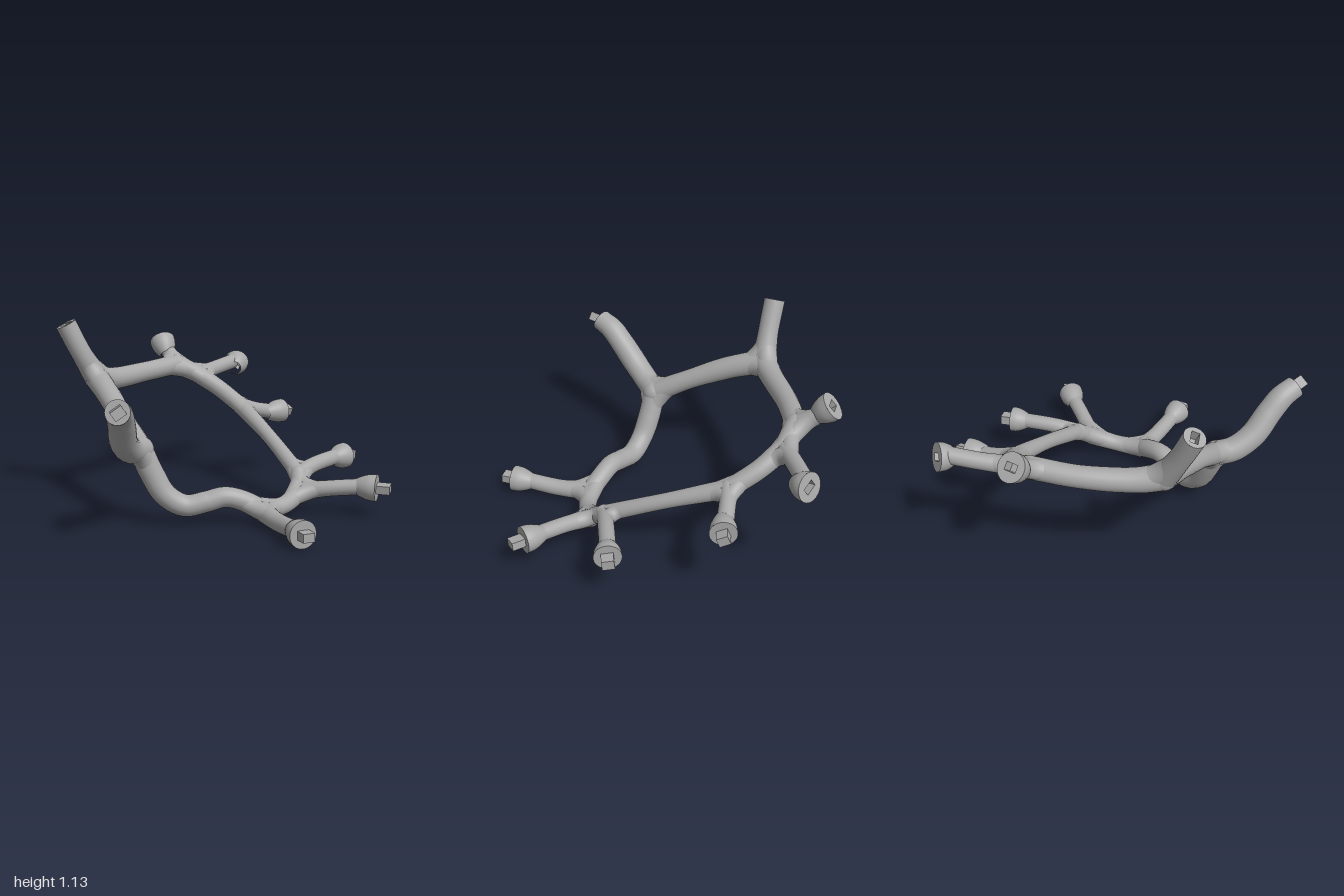
import * as THREE from 'three';

const V = (a) => new THREE.Vector3(a[0], a[1], a[2]);

export function createModel() {
  const model = new THREE.Group();
  const grey = new THREE.MeshStandardMaterial({ color: 0xa8a8a8 });
  grey.name = 'plainGrey';
  const greyInside = grey.clone(); // same grey, seen from inside the sockets
  greyInside.side = THREE.BackSide;

  const add = (name, geometry, parent = model, material = grey) => {
    const mesh = new THREE.Mesh(geometry, material);
    mesh.name = name;
    parent.add(mesh);
    return mesh;
  };

  // Round tube along a curve whose radius blends through a list of radii
  const sweep = (name, curve, radii, segments = 40) => {
    const sides = 24;
    const g = new THREE.TubeGeometry(curve, segments, 1, sides);
    const pos = g.attributes.position, nor = g.attributes.normal;
    for (let i = 0; i <= segments; i++) {
      const c = curve.getPointAt(i / segments);
      const f = (i / segments) * (radii.length - 1);
      const k = Math.min(Math.floor(f), radii.length - 2);
      const r = THREE.MathUtils.lerp(radii[k], radii[k + 1], THREE.MathUtils.smoothstep(f - k, 0, 1));
      for (let j = 0; j <= sides; j++) {
        const n = i * (sides + 1) + j;
        pos.setXYZ(n, c.x + nor.getX(n) * r, c.y + nor.getY(n) * r, c.z + nor.getZ(n) * r);
      }
    }
    return add(name, g);
  };
  const tube = (name, points, radii) =>
    sweep(name, new THREE.CatmullRomCurve3(points.map(V), false, 'centripetal'), radii);

  // Junctions of the frame
  const N = {
    backLeft: [-0.34, 0.78, -0.66],
    back: [0.38, 0.78, -0.75],
    backCorner: [0.5, 0.71, -0.67],
    side: [0.61, 0.52, -0.36],
    frontCorner: [0.43, 0.23, 0.34],
    front: [0.36, 0.15, 0.42],
    frontMiddle: [0.03, 0.1, 0.43],
    limb: [-0.52, 0.47, 0.01],
  };

  // Closed ring
  tube('backBar', [N.backLeft, [-0.2, 0.755, -0.69], [0.1, 0.76, -0.74], N.back], [0.075, 0.068, 0.064, 0.065]);
  tube('backCornerBar', [N.back, N.backCorner], [0.065, 0.06]);
  tube('upperSideBar', [N.backCorner, [0.57, 0.62, -0.53], N.side], [0.06, 0.056, 0.055]);
  tube('lowerSideBar', [N.side, [0.525, 0.38, 0], N.frontCorner], [0.055, 0.046, 0.05]);
  tube('frontCornerBar', [N.frontCorner, N.front], [0.052, 0.055]);
  tube('frontBar', [N.front, [0.2, 0.1, 0.445], N.frontMiddle], [0.058, 0.053, 0.06]);
  tube('wavyBar', [N.frontMiddle, [-0.03, 0.145, 0.375], [-0.13, 0.18, 0.3], [-0.22, 0.155, 0.235],
    [-0.32, 0.135, 0.16], [-0.41, 0.2, 0.095], [-0.47, 0.33, 0.045], N.limb],
  [0.06, 0.06, 0.062, 0.066, 0.07, 0.07]);
  tube('leftBar', [N.limb, [-0.47, 0.585, -0.2], [-0.4, 0.71, -0.46], N.backLeft], [0.07, 0.062, 0.07, 0.075]);

  // Side arms
  tube('tallPost', [N.backLeft, [-0.43, 0.94, -0.69], [-0.51, 1.12, -0.73]], [0.075, 0.063, 0.064]);
  tube('limbArm', [N.limb, [-0.62, 0.49, 0.05], [-0.72, 0.56, 0.12], [-0.8, 0.68, 0.21],
    [-0.86, 0.755, 0.275], [-0.925, 0.79, 0.345]], [0.075, 0.076, 0.078, 0.075, 0.068]);
  tube('backArm', [N.back, [0.4, 0.85, -0.86]], [0.06, 0.05]);
  tube('backCornerArm', [N.backCorner, [0.68, 0.73, -0.7], [0.86, 0.755, -0.72]], [0.055, 0.05, 0.05]);
  tube('sideArm', [N.side, [0.72, 0.49, -0.34], [0.85, 0.46, -0.315]], [0.055, 0.048, 0.05]);
  tube('frontCornerArm', [N.frontCorner, [0.58, 0.26, 0.33], [0.79, 0.275, 0.32]], [0.05, 0.048, 0.048]);
  tube('frontArm', [N.front, [0.46, 0.18, 0.57], [0.56, 0.2, 0.71]], [0.055, 0.048, 0.048]);
  tube('frontMiddleArm', [N.frontMiddle, [-0.03, 0.085, 0.62], [-0.1, 0.1, 0.83]], [0.06, 0.052, 0.05]);

  // Rounded webs between neighbouring bars at each junction
  const joint = (name, at, radius, targets) => {
    const c = V(at);
    add(name, new THREE.SphereGeometry(radius, 24, 16)).position.copy(c);
    const ends = targets.map((t) => {
      const d = V(t).sub(c);
      return c.clone().add(d.setLength(Math.min(0.17, d.length())));
    });
    for (let i = 0; i < ends.length; i++)
      for (let j = i + 1; j < ends.length; j++)
        sweep(name + 'Web', new THREE.QuadraticBezierCurve3(ends[i], c, ends[j]),
          [radius * 0.72, radius * 0.85, radius * 0.72], 16);
  };
  joint('backLeftJoint', N.backLeft, 0.077, [[-0.2, 0.755, -0.69], [-0.4, 0.71, -0.46], [-0.43, 0.94, -0.69]]);
  joint('backJoint', N.back, 0.067, [[0.1, 0.76, -0.74], N.backCorner, [0.4, 0.85, -0.86]]);
  joint('backCornerJoint', N.backCorner, 0.061, [N.back, [0.57, 0.62, -0.53], [0.68, 0.73, -0.7]]);
  joint('sideJoint', N.side, 0.058, [[0.57, 0.62, -0.53], [0.525, 0.38, 0], [0.72, 0.49, -0.34]]);
  joint('frontCornerJoint', N.frontCorner, 0.054, [[0.525, 0.38, 0], N.front, [0.58, 0.26, 0.33]]);
  joint('frontJoint', N.front, 0.059, [N.frontCorner, [0.2, 0.1, 0.445], [0.46, 0.18, 0.57]]);
  joint('frontMiddleJoint', N.frontMiddle, 0.062, [[0.2, 0.1, 0.445], [-0.09, 0.165, 0.33], [-0.03, 0.085, 0.62]]);
  joint('limbJoint', N.limb, 0.077, [[-0.47, 0.33, 0.045], [-0.47, 0.585, -0.2], [-0.65, 0.5, 0.07]]);

  // Arm end: flat round face looking along dir, with a peg or a socket, and an optional bell
  const armEnd = (name, at, dir, radius, { bell = 0, peg = 0, w = 0.085, h = 0.05, roll = 0 }) => {
    const end = new THREE.Group();
    end.name = name;
    end.position.copy(V(at));
    end.lookAt(V(at).add(V(dir)));
    end.rotateZ(roll);
    model.add(end);
    if (bell) {
      const profile = new THREE.SplineCurve([[0.044, -bell], [radius * 0.78, -bell * 0.7],
        [radius * 0.96, -bell * 0.35], [radius, 0]].map((p) => new THREE.Vector2(...p)));
      add('bell', new THREE.LatheGeometry(profile.getPoints(12), 32).rotateX(Math.PI / 2), end);
    }
    const face = new THREE.Shape().absarc(0, 0, radius, 0, Math.PI * 2);
    if (!peg) {
      const slot = [[-w, -h], [-w, h], [w, h], [w, -h]].map(([x, y]) => new THREE.Vector2(x / 2, y / 2));
      face.holes.push(new THREE.Path(slot));
      add('socket', new THREE.BoxGeometry(w, h, 0.06).translate(0, 0, -0.03), end, greyInside);
    } else {
      add('peg', new THREE.BoxGeometry(w, h, peg + 0.02).translate(0, 0, peg / 2 - 0.01), end);
    }
    add('endFace', new THREE.ShapeGeometry(face, 20), end);
  };
  armEnd('tallPostEnd', [-0.51, 1.12, -0.73], [-0.4, 0.88, -0.22], 0.064, { w: 0.07, h: 0.045, roll: 0.6 });
  armEnd('limbEnd', [-0.925, 0.79, 0.345], [-0.55, 0.1, 0.83], 0.068, { peg: 0.07, w: 0.07, h: 0.055, roll: 0.6 });
  armEnd('backEnd', [0.41, 0.92, -0.94], [0.25, 0.66, -0.7], 0.084, { bell: 0.13, w: 0.07, h: 0.045 });
  armEnd('backCornerEnd', [0.92, 0.745, -0.74], [0.75, 0.25, -0.6], 0.084, { bell: 0.11, w: 0.07, h: 0.045, roll: 0.5 });
  armEnd('sideEnd', [0.93, 0.46, -0.3], [0.99, 0, 0.08], 0.078, { bell: 0.14, peg: 0.067, w: 0.065, h: 0.055, roll: 0.4 });
  armEnd('frontCornerEnd', [0.87, 0.27, 0.32], [1, 0, -0.03], 0.08, { bell: 0.11, peg: 0.07, w: 0.07, h: 0.058, roll: 0.1 });
  armEnd('frontEnd', [0.615, 0.2, 0.8], [0.48, 0, 0.88], 0.08, { bell: 0.13, peg: 0.08, w: 0.07, h: 0.05, roll: 0.1 });
  armEnd('frontMiddleEnd', [-0.125, 0.1, 0.91], [-0.33, 0.02, 0.94], 0.08, { bell: 0.13, peg: 0.07, w: 0.07, h: 0.05 });

  return model;
}
